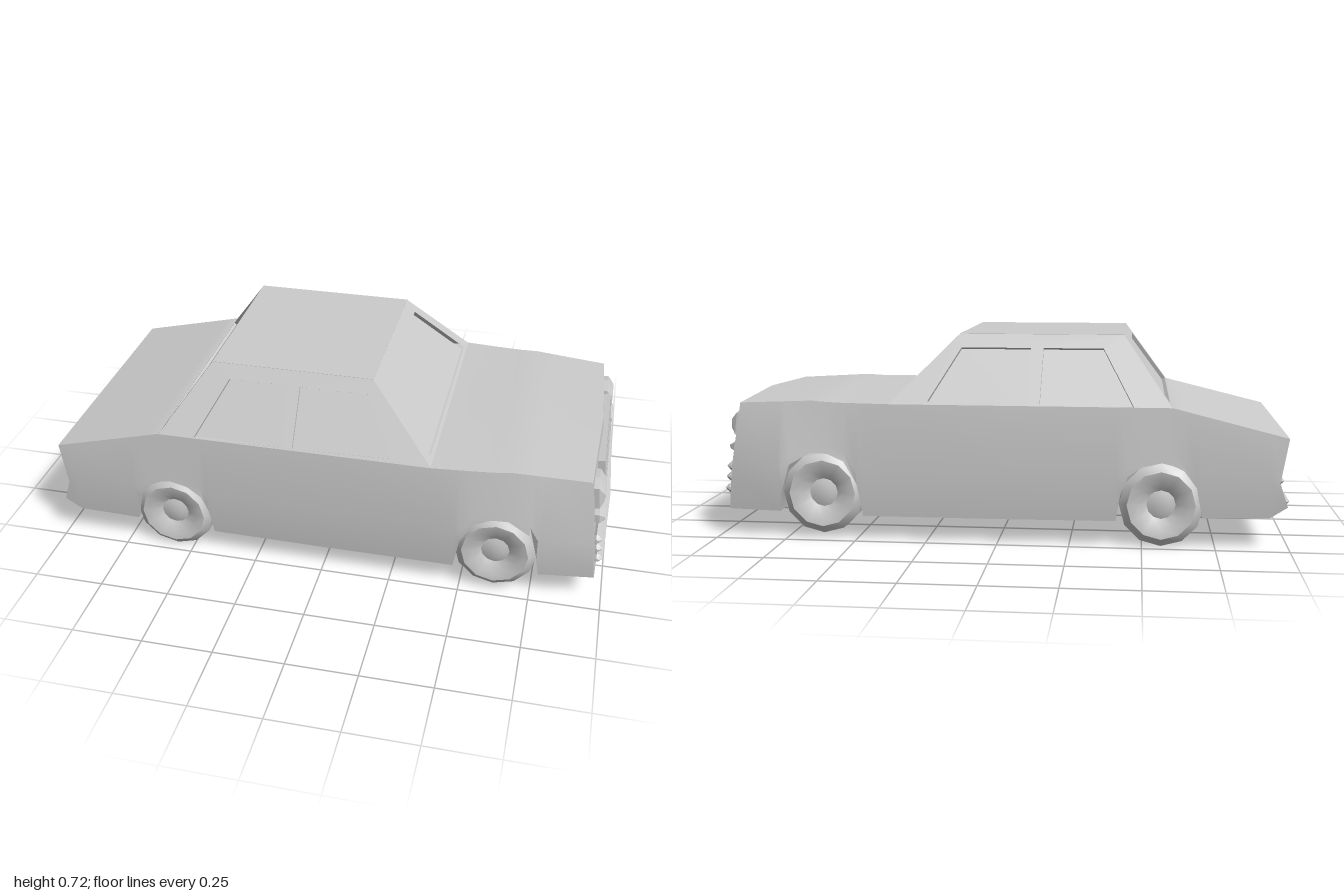
import * as THREE from 'three';
import { toCreasedNormals } from 'three/addons/utils/BufferGeometryUtils.js';
import { ConvexGeometry } from 'three/addons/geometries/ConvexGeometry.js';

const material = new THREE.MeshStandardMaterial({ color: 0xcccccc });
const glassMaterial = new THREE.MeshStandardMaterial({ color: 0xcccccc, side: THREE.DoubleSide });
const V = (x, y, z) => new THREE.Vector3(x, y, z);
const clamp01 = (t) => Math.min(1, Math.max(0, t));
const lerp = THREE.MathUtils.lerp;

function part(parent, name, geometry, mat = material) {
  const mesh = new THREE.Mesh(geometry, mat);
  mesh.name = name;
  parent.add(mesh);
  return mesh;
}

// Skin closed rings of points, with a fan at each end
function loft(rings, capCenters, crease = 0.5) {
  const pos = [];
  const tri = (...pts) => pts.forEach((p) => pos.push(p.x, p.y, p.z));
  const n = rings[0].length;
  const average = (ring) => ring.reduce((s, p) => s.add(p), V(0, 0, 0)).divideScalar(n);
  const first = rings[0], last = rings[rings.length - 1];
  const [c0, c1] = capCenters || [average(first), average(last)];
  for (let i = 0; i < n; i++) {
    const j = (i + 1) % n;
    for (let s = 0; s < rings.length - 1; s++) {
      const a = rings[s], b = rings[s + 1];
      tri(a[i], a[j], b[j], a[i], b[j], b[i]);
    }
    tri(c0, first[j], first[i]);
    tri(c1, last[i], last[j]);
  }
  const g = new THREE.BufferGeometry();
  g.setAttribute('position', new THREE.Float32BufferAttribute(pos, 3));
  return toCreasedNormals(g, crease);
}

// Flat frame through 3D corners with recessed panes in its openings
function framedPanel(parent, name, corners, openings, outward, depth) {
  const o = corners[0];
  const n = corners[1].clone().sub(o).cross(corners[2].clone().sub(o)).normalize();
  if (n.dot(outward) < 0) n.negate();
  const u = V(0, 1, 0).cross(n).normalize();
  const v = n.clone().cross(u);
  const flat = (p) => {
    const d = p.clone().sub(o);
    return new THREE.Vector2(d.dot(u), d.dot(v));
  };
  const shape = new THREE.Shape(corners.map(flat));
  openings.forEach((h) => shape.holes.push(new THREE.Path(h.map(flat))));
  const toWorld = new THREE.Matrix4().makeBasis(u, v, n).setPosition(o.clone().addScaledVector(n, -depth));
  const frame = new THREE.ExtrudeGeometry(shape, { depth, bevelEnabled: false });
  part(parent, name + 'Frame', frame.applyMatrix4(toWorld));
  openings.forEach((h) => {
    const pane = new THREE.ShapeGeometry(new THREE.Shape(h.map(flat)));
    part(parent, name + 'Glass', pane.translate(0, 0, 0.002).applyMatrix4(toWorld), glassMaterial);
  });
}

// Centre line height of boot, waist and bonnet
const TOP = [[-0.99, 0.385], [-0.6, 0.482], [0.38, 0.482], [0.66, 0.5], [0.925, 0.487]];
function topY(x) {
  for (let i = 0; i < TOP.length - 1; i++) {
    const [x0, y0] = TOP[i], [x1, y1] = TOP[i + 1];
    if (x <= x1) return lerp(y0, y1, clamp01((x - x0) / (x1 - x0)));
  }
  return TOP[TOP.length - 1][1];
}

// Body half width: fullest a little below the middle, tapering to the nose
function halfWidth(x, y) {
  const t = clamp01((y - 0.25) / 0.23);
  const base = y < 0.25 ? lerp(0.472, 0.487, clamp01((y - 0.09) / 0.16)) : lerp(0.487, 0.466, t);
  return base - lerp(clamp01((x - 0.75) / 0.2) * 0.028, clamp01((x - 0.38) / 0.54) * 0.045, t);
}
const noseX = (y) => 0.968 - 0.11 * (y - 0.095);

function bodyRing(bottom, middle, top) {
  const crown = 0.012 * clamp01((top[0] - 0.38) / 0.2);
  const bow = 0.015 * clamp01((top[0] - 0.8) / 0.12);
  const side = [bottom, middle, [top[0], top[1] - crown]];
  const right = side.map(([x, y]) => V(x, y, -halfWidth(x, y)));
  const left = side.map(([x, y]) => V(x, y, halfWidth(x, y))).reverse();
  return [...right, V(top[0] + bow, top[1], 0), ...left, V(bottom[0] + bow, bottom[1], 0)];
}

function addBody(car) {
  // Underside stations; the rises are the wheel arches
  const under = [
    [-0.93, 0.11], [-0.705, 0.105], [-0.685, 0.21], [-0.64, 0.27], [-0.6, 0.288], [-0.565, 0.295],
    [-0.5, 0.28], [-0.45, 0.245], [-0.425, 0.18], [-0.41, 0.088], [0, 0.085], [0.38, 0.085], [0.475, 0.085],
    [0.495, 0.2], [0.54, 0.28], [0.6, 0.305], [0.66, 0.307], [0.735, 0.265], [0.765, 0.17], [0.775, 0.095],
  ];
  const rings = under.map(([x, y]) => bodyRing([x, y], [x, Math.max(0.25, y + 0.03)], [x, topY(x)]));
  rings.unshift(bodyRing([-0.99, 0.15], [-0.962, 0.235], [-0.99, 0.385]));
  rings.push(bodyRing([noseX(0.095), 0.095], [noseX(0.25), 0.25], [0.925, 0.487]));
  part(car, 'body', loft(rings, [V(-0.965, 0.235, 0), V(noseX(0.25) + 0.015, 0.25, 0)], 0.45));
}

function addCabin(car) {
  const cabin = new THREE.Group();
  cabin.name = 'cabin';
  car.add(cabin);
  const low = 0.478, high = 0.718;
  const rise = (y) => (y - low) / (high - low);
  // Side frames with two windows each
  const sideWindows = [
    [[-0.468, 0.482], [-0.36, 0.672], [-0.15, 0.672], [-0.145, 0.488]],
    [[-0.108, 0.486], [-0.105, 0.672], [0.14, 0.672], [0.245, 0.493]],
  ];
  for (const s of [1, -1]) {
    const onSide = ([x, y]) => V(x, y, s * lerp(0.466, 0.32, rise(y)));
    const outline = [[-0.6, low], [0.385, low], [0.15, high], [-0.43, high]].map(onSide);
    framedPanel(cabin, s > 0 ? 'leftSide' : 'rightSide', outline,
      sideWindows.map((w) => w.map(onSide)), V(0, 0, s), 0.014);
  }
  // Windscreen and rear window
  for (const [name, x0, x1, dir] of [['windscreen', 0.385, 0.15, 1], ['rearWindow', -0.6, -0.43, -1]]) {
    const onEnd = ([z, y]) => V(lerp(x0, x1, rise(y)), y, z);
    const outline = [[-0.466, low], [0.466, low], [0.32, high], [-0.32, high]].map(onEnd);
    const opening = [[-0.405, 0.492], [0.405, 0.492], [0.295, 0.682], [-0.295, 0.682]].map(onEnd);
    framedPanel(cabin, name, outline, [opening], V(dir, 0, 0), 0.016);
  }
  part(cabin, 'roof', new THREE.BoxGeometry(0.58, 0.015, 0.64)).position.set(-0.14, 0.7115, 0);
}

// Pointed bar across the car, bowed and dipping at its centre
function bar(parent, name, x, y, half, rx, ry, bow, dip) {
  const rings = [[-half, 0.35], [-half + 0.015, 1], [0, 1], [half - 0.015, 1], [half, 0.35]].map(([z, k]) => {
    const c = z === 0 ? 1 : 0;
    const cx = x + bow * c, cy = y - dip * c;
    return [[1, 0], [0.4, 0.8], [0, 1], [-1, 0], [0, -1], [0.4, -0.8]]
      .map(([a, b]) => V(cx + a * rx * k, cy + b * ry * k, z));
  });
  part(parent, name, loft(rings));
}

function addNose(car) {
  const nose = new THREE.Group();
  nose.name = 'nose';
  car.add(nose);
  // Grille: back plate, rim and slats leaning with the nose
  const grille = new THREE.Group();
  grille.name = 'grille';
  grille.position.set(0.95, 0.36, 0);
  grille.rotation.z = 0.11;
  nose.add(grille);
  part(grille, 'grillePlate', new THREE.BoxGeometry(0.024, 0.17, 0.47));
  for (const s of [1, -1]) {
    part(grille, 'grilleRim', new THREE.BoxGeometry(0.04, 0.006, 0.47)).position.y = s * 0.082;
    part(grille, 'grilleEnd', new THREE.BoxGeometry(0.04, 0.17, 0.006)).position.z = s * 0.232;
  }
  for (let i = 0; i < 4; i++) {
    part(grille, 'grilleSlat', new THREE.BoxGeometry(0.036, 0.026, 0.46)).position.y = 0.057 - i * 0.039;
  }
  // Headlights and indicators: outlines with a raised ridge
  const lamps = [
    ['headlight', [[0.272, 0.437], [0.34, 0.446], [0.396, 0.435], [0.396, 0.355], [0.34, 0.34], [0.265, 0.352]]],
    ['indicator', [[0.265, 0.325], [0.34, 0.331], [0.396, 0.327], [0.396, 0.296], [0.34, 0.288], [0.265, 0.293]]],
  ];
  for (const [name, outline] of lamps) {
    const yMid = outline.reduce((sum, p) => sum + p[1], 0) / outline.length;
    for (const s of [1, -1]) {
      const pts = [];
      outline.forEach(([z, y]) => {
        pts.push(V(noseX(y) - 0.01, y, s * z), V(noseX(y) + 0.018, y, s * z));
        pts.push(V(noseX(yMid) + 0.036, lerp(yMid, y, 0.35), s * lerp(0.33, z, 0.85)));
      });
      part(nose, name, new ConvexGeometry(pts));
    }
  }
  // Three bumper bars
  for (const y of [0.245, 0.207, 0.165]) bar(nose, 'frontBumperBar', noseX(y) + 0.008, y, 0.435, 0.022, 0.018, 0.012, 0.017);
}

function addWheels(car) {
  const profile = [[0, 0.335], [0.085, 0.335], [0.105, 0.31], [0.145, 0.31], [0.145, 0.455],
    [0.118, 0.477], [0.085, 0.472], [0.05, 0.452], [0.03, 0.458], [0, 0.46]];
  const geometry = toCreasedNormals(
    new THREE.LatheGeometry(profile.map(([r, h]) => new THREE.Vector2(r, h)), 12), 0.5);
  for (const [name, x, y] of [['rearWheel', -0.565, 0.145], ['frontWheel', 0.62, 0.163]]) {
    for (const s of [1, -1]) {
      const wheel = part(car, name, geometry);
      wheel.position.set(x, y, 0);
      wheel.rotation.x = s * Math.PI / 2;
    }
  }
}

export function createModel() {
  const car = new THREE.Group();
  car.name = 'saloonCar';
  addBody(car);
  addCabin(car);
  addNose(car);
  // Tail strip in the crease and rear bumper
  bar(car, 'tailStrip', -0.966, 0.235, 0.455, 0.014, 0.014, 0, 0);
  bar(car, 'rearBumper', -0.98, 0.165, 0.46, 0.018, 0.022, 0, 0);
  addWheels(car);
  return car;
}
